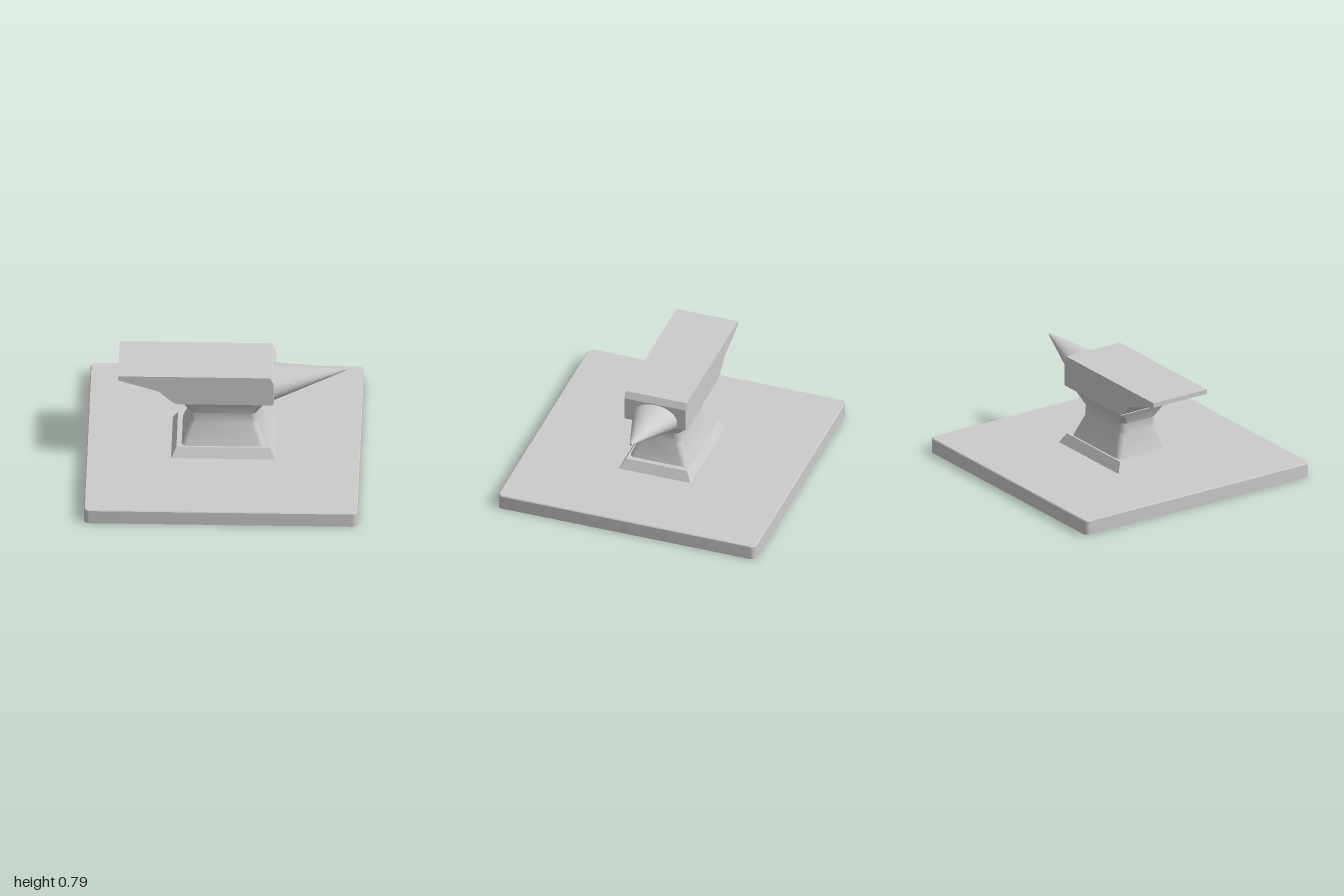
import * as THREE from 'three';
import { toCreasedNormals } from 'three/addons/utils/BufferGeometryUtils.js';

const steel = new THREE.MeshStandardMaterial({ color: 0xcccccc });
const steelFlat = new THREE.MeshStandardMaterial({ color: 0xcccccc, flatShading: true });

function part(name, geometry, material = steel) {
  const mesh = new THREE.Mesh(geometry, material);
  mesh.name = name;
  return mesh;
}

// Corner-rounded rectangle at height y, as a loop of points
function roundedLoop([y, hx, hz, r], steps) {
  const points = [];
  const signs = [[1, 1], [-1, 1], [-1, -1], [1, -1]];
  signs.forEach(([sx, sz], q) => {
    for (let i = 0; i <= steps; i++) {
      const a = (q + (steps ? i / steps : 0.5)) * Math.PI / 2;
      points.push(new THREE.Vector3(
        sx * (hx - r) + r * Math.cos(a), y, sz * (hz - r) + r * Math.sin(a)));
    }
  });
  return points;
}

// Closed solid through levels of [y, half width, half depth, corner radius]
function stack(levels, steps) {
  const loops = levels.map((level) => roundedLoop(level, steps));
  const n = loops[0].length;
  const tris = [];
  const bottom = new THREE.Vector3(0, levels[0][0], 0);
  const top = new THREE.Vector3(0, levels[levels.length - 1][0], 0);
  for (let i = 0; i < n; i++) {
    const k = (i + 1) % n;
    for (let j = 0; j + 1 < loops.length; j++) {
      const [a, b, c, d] = [loops[j][i], loops[j][k], loops[j + 1][k], loops[j + 1][i]];
      tris.push(a, d, c, a, c, b);
    }
    const last = loops[loops.length - 1];
    tris.push(bottom, loops[0][i], loops[0][k], top, last[k], last[i]);
  }
  const geometry = new THREE.BufferGeometry().setFromPoints(tris);
  geometry.computeVertexNormals();
  return toCreasedNormals(geometry, 0.5);
}

// Body with flat face, chamfered horn end and tapering heel
function bodyGeometry() {
  const outline = [
    [-0.77, 0.79], [-0.77, 0.755], [-0.47, 0.662], [-0.37, 0.57], [-0.34, 0.555],
    [0.36, 0.555], [0.37, 0.565], [0.37, 0.74], [0.345, 0.79],
  ];
  const shape = new THREE.Shape(outline.map(([x, y]) => new THREE.Vector2(x, y)));
  return new THREE.ExtrudeGeometry(shape, { depth: 0.476, bevelEnabled: false })
    .translate(0, 0, -0.238);
}

// Oval cone with a level top line, narrowing to a blunt tip
function hornGeometry() {
  const geometry = new THREE.CylinderGeometry(1, 1, 1, 40, 1);
  const p = geometry.attributes.position;
  for (let i = 0; i < p.count; i++) {
    const t = p.getY(i) + 0.5;
    const ry = THREE.MathUtils.lerp(0.14, 0.008, t);
    const rz = THREE.MathUtils.lerp(0.2, 0.01, t);
    p.setXYZ(i, 0.28 + 0.615 * t, 0.735 - ry - ry * p.getX(i), p.getZ(i) * rz);
  }
  geometry.computeVertexNormals();
  return geometry;
}

export function createModel() {
  const model = new THREE.Group();
  model.name = 'anvil';
  model.add(
    part('basePlate', stack([
      [0, 1, 1, 0.04], [0.105, 1, 1, 0.04], [0.112, 0.994, 0.994, 0.036],
    ], 6)),
    part('foot', stack([
      [0.11, 0.382, 0.28, 0], [0.185, 0.342, 0.237, 0],
    ], 0)),
    part('waist', stack([
      [0.18, 0.307, 0.225, 0.04], [0.35, 0.25, 0.158, 0.05], [0.43, 0.25, 0.155, 0.05],
      [0.53, 0.3, 0.2, 0.03], [0.556, 0.355, 0.238, 0.01],
    ], 4)),
    part('body', bodyGeometry()),
    part('horn', hornGeometry(), steelFlat),
  );
  return model;
}
